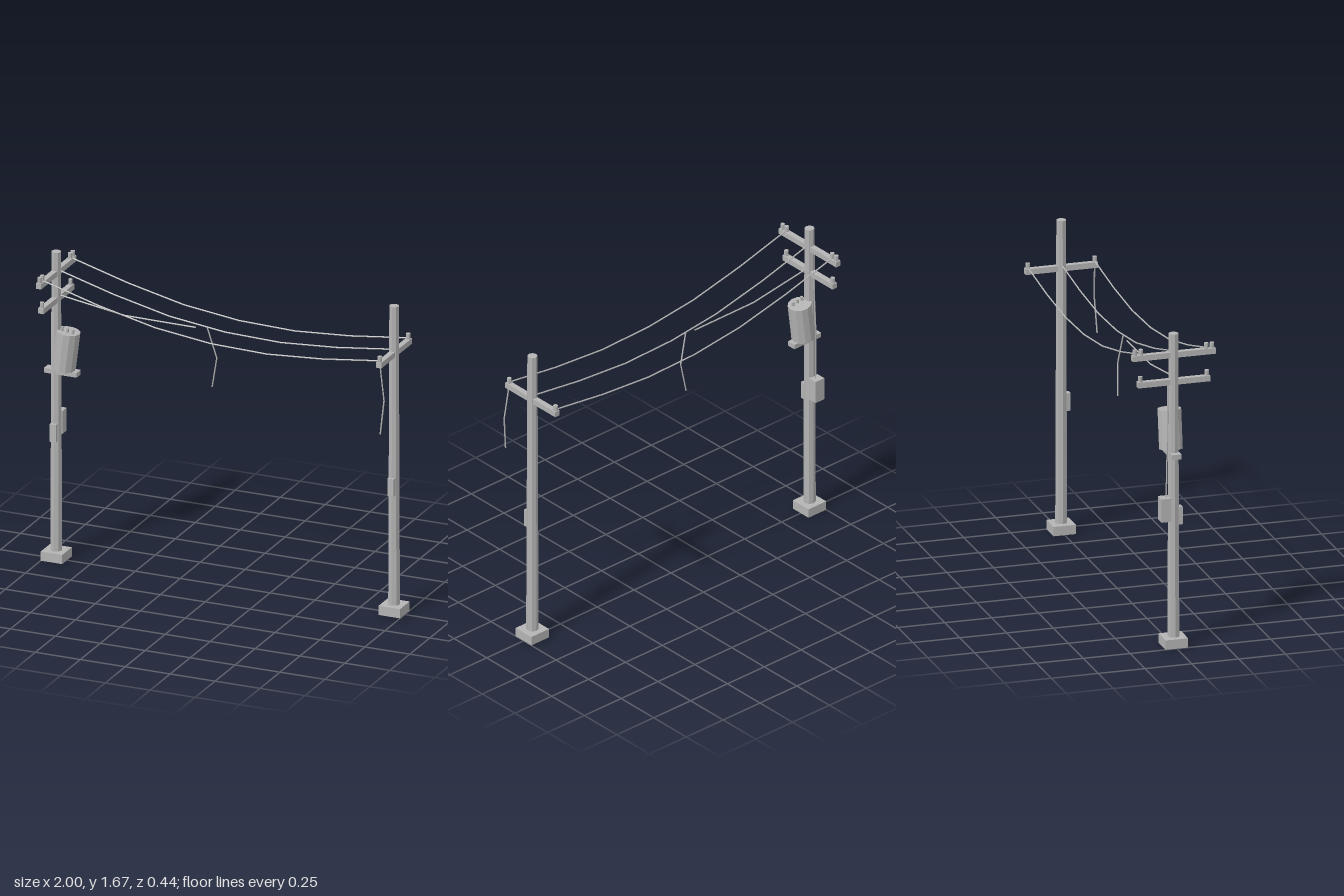
import * as THREE from 'three';

const steel = new THREE.MeshStandardMaterial({ color: 0xb4b4b4, flatShading: true });
steel.name = 'plain grey';

function add(parent, name, geometry, x, y, z) {
  const mesh = new THREE.Mesh(geometry, steel);
  mesh.name = name;
  mesh.position.set(x, y, z);
  parent.add(mesh);
  return mesh;
}
const box = (w, h, d) => new THREE.BoxGeometry(w, h, d);
const post = (top, bottom, h, sides = 8) => new THREE.CylinderGeometry(top, bottom, h, sides);

// Straight-segment cable through a few points
function cable(parent, name, points, radius = 0.004) {
  const group = new THREE.Group();
  group.name = name;
  const pts = points.map((p) => new THREE.Vector3(...p));
  for (let i = 1; i < pts.length; i++) {
    const dir = pts[i].clone().sub(pts[i - 1]);
    const mid = pts[i].clone().add(pts[i - 1]).multiplyScalar(0.5);
    const seg = add(group, name + 'Segment', post(radius, radius, dir.length() + radius, 6), mid.x, mid.y, mid.z);
    seg.quaternion.setFromUnitVectors(new THREE.Vector3(0, 1, 0), dir.normalize());
  }
  parent.add(group);
}

// Cross arm with insulators at the given distances from the pole
function crossArm(parent, y, length, offsets) {
  const arm = new THREE.Group();
  arm.name = 'crossArm';
  arm.position.y = y;
  add(arm, 'beam', box(0.03, 0.03, length), 0, 0, 0);
  for (const side of [-1, 1]) {
    for (const d of offsets) add(arm, 'insulator', post(0.012, 0.012, 0.03), 0, 0.029, side * d);
  }
  parent.add(arm);
}

// Footing, tapered pole, lower cross arm and small front box
function utilityPole(parent, name, x) {
  const pole = new THREE.Group();
  pole.name = name;
  pole.position.x = x;
  add(pole, 'footing', box(0.12, 0.05, 0.12), 0, 0.025, 0);
  add(pole, 'pole', post(0.026, 0.032, 1.63), 0, 0.86, 0);
  add(pole, 'smallBox', box(0.035, 0.095, 0.035), 0, 0.698, 0.0275);
  crossArm(pole, 1.417, 0.385, [0.178]);
  parent.add(pole);
  return pole;
}

export function createModel() {
  const model = new THREE.Group();
  model.name = 'powerLine';

  const left = utilityPole(model, 'equipmentPole', -0.94);
  utilityPole(model, 'plainPole', 0.94);
  crossArm(left, 1.562, 0.443, [0.175, 0.206]);

  // Tilted transformer on its bracket
  add(left, 'transformerBracket', box(0.182, 0.026, 0.05), 0.034, 1.027, 0);
  const transformer = new THREE.Group();
  transformer.name = 'transformer';
  transformer.position.set(0.055, 1.147, 0);
  transformer.rotation.z = -0.125;
  add(transformer, 'tank', post(0.062, 0.062, 0.208, 12), 0, 0, 0);
  for (const x of [-0.03, 0, 0.03]) add(transformer, 'bushing', post(0.008, 0.008, 0.025), x, 0.114, 0.015);
  left.add(transformer);

  // Rear meter box and its feed cable
  add(left, 'meterBox', box(0.06, 0.125, 0.053), -0.005, 0.738, -0.048);
  cable(left, 'feedCable', [[0, 1.4, -0.03], [-0.01, 1.1, -0.035], [-0.005, 0.8, -0.04]]);

  // Three sagging lines between the poles
  const sag = [[-0.93, 1.577], [-0.62, 1.49], [-0.31, 1.42], [0, 1.382], [0.31, 1.374], [0.62, 1.396], [0.93, 1.435]];
  for (const z of [-0.178, 0, 0.178]) cable(model, 'line', sag.map(([x, y]) => [x, y, z]));

  // Broken and hanging wires
  cable(model, 'brokenWire', [[-0.93, 1.442, 0], [-0.56, 1.385, 0], [-0.165, 1.382, 0]]);
  cable(model, 'hangingWire', [[-0.1, 1.393, 0], [-0.053, 1.227, -0.015], [-0.082, 1.065, -0.023]]);
  cable(model, 'looseEnd', [[0.94, 1.42, 0.178], [0.967, 1.225, 0.186], [0.95, 1.045, 0.195]]);

  return model;
}
